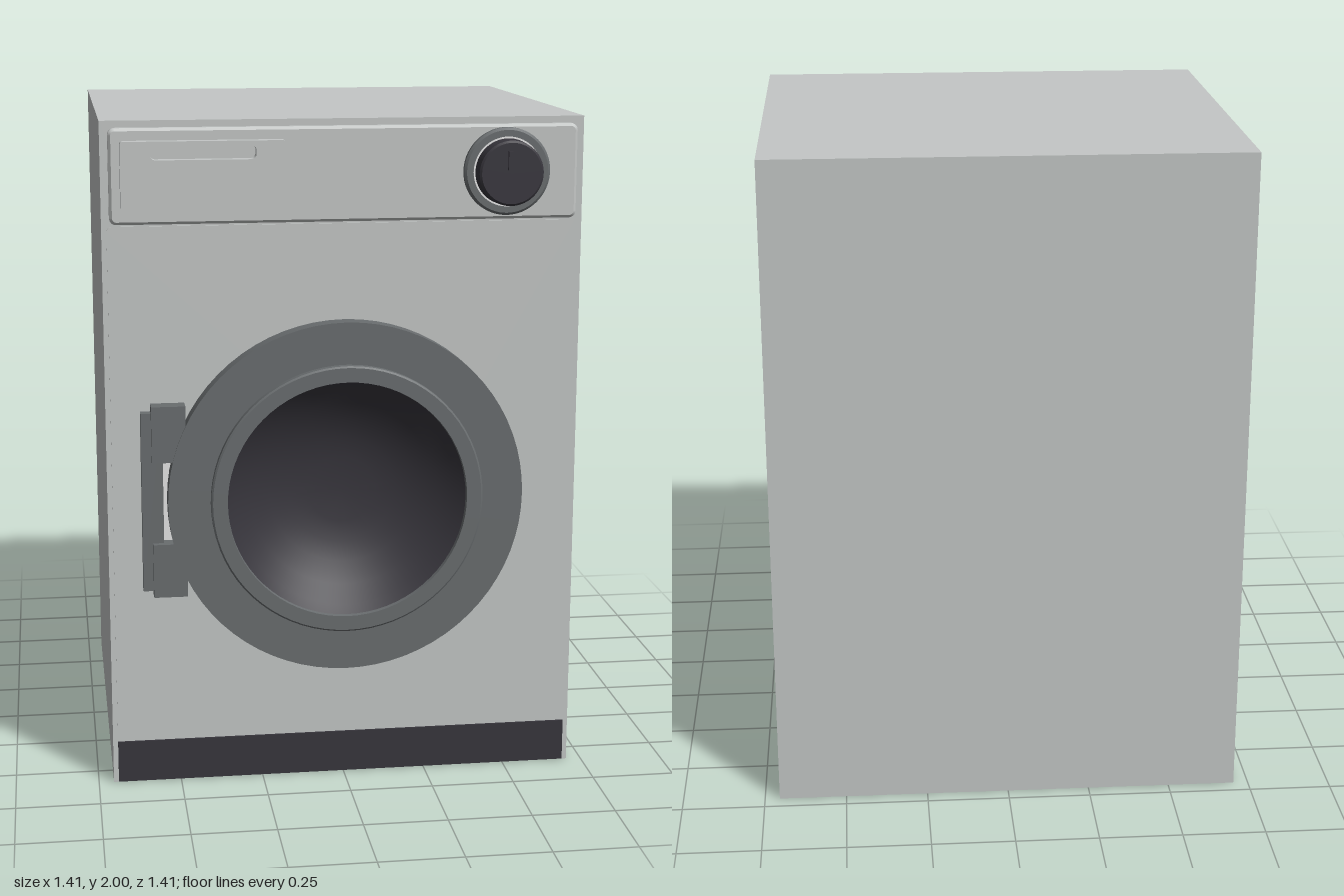
import * as THREE from 'three';
import { toCreasedNormals } from 'three/addons/utils/BufferGeometryUtils.js';

const mat = (name, color) => {
  const m = new THREE.MeshStandardMaterial({ color });
  m.name = name;
  return m;
};

// Rectangle outline with rounded corners
function roundRect(x0, y0, x1, y1, r, PathType = THREE.Shape) {
  const p = new PathType();
  p.moveTo(x0 + r, y0);
  p.lineTo(x1 - r, y0);
  p.absarc(x1 - r, y0 + r, r, -Math.PI / 2, 0);
  p.lineTo(x1, y1 - r);
  p.absarc(x1 - r, y1 - r, r, 0, Math.PI / 2);
  p.lineTo(x0 + r, y1);
  p.absarc(x0 + r, y1 - r, r, Math.PI / 2, Math.PI);
  p.lineTo(x0, y0 + r);
  p.absarc(x0 + r, y0 + r, r, Math.PI, Math.PI * 1.5);
  return p;
}

export function createModel() {
  const model = new THREE.Group();
  model.name = 'washingMachine';
  const casing = mat('casing grey', 0xc4c7c6);
  const trim = mat('trim grey', 0x696d6f);
  const dark = mat('dark charcoal', 0x38363d);
  const pale = mat('pale grey', 0xf0f0f0);

  const add = (name, geometry, material, parent = model) => {
    const mesh = new THREE.Mesh(geometry, material);
    mesh.name = name;
    parent.add(mesh);
    return mesh;
  };
  // Box given by its two opposite corners
  const box = (name, x0, y0, z0, x1, y1, z1, material, parent) =>
    add(name, new THREE.BoxGeometry(x1 - x0, y1 - y0, z1 - z0), material, parent)
      .position.set((x0 + x1) / 2, (y0 + y1) / 2, (z0 + z1) / 2);
  // Outline pushed from z0 to z1
  const slab = (name, shape, z0, z1, material, parent, bevel = 0) => {
    const g = new THREE.ExtrudeGeometry(shape, {
      depth: z1 - z0 - bevel, curveSegments: 24, bevelEnabled: bevel > 0,
      bevelSize: bevel, bevelThickness: bevel, bevelOffset: -bevel, bevelSegments: 1,
    });
    g.translate(0, 0, z0);
    return add(name, g, material, parent);
  };
  // Turned profile of [radius, z] points facing the front
  const turned = (name, points, x, y, material, parent, crease = 0.6) => {
    const g = new THREE.LatheGeometry(points.map(([r, z]) => new THREE.Vector2(r, z)), 72);
    g.rotateX(Math.PI / 2);
    const mesh = add(name, toCreasedNormals(g, crease), material, parent);
    mesh.position.set(x, y, 0);
    return mesh;
  };

  const doorY = 0.885;
  const withPort = (shape) => {
    const hole = new THREE.Path();
    hole.absarc(0, doorY, 0.4, 0, Math.PI * 2, true);
    shape.holes.push(hole);
    return shape;
  };

  // Cabinet, with an opening behind the door
  const cabinet = new THREE.Group();
  cabinet.name = 'cabinet';
  model.add(cabinet);
  box('cabinetRear', -0.705, 0, -0.705, 0.705, 2, 0.45, casing, cabinet);
  const front = new THREE.Shape([[-0.705, 0], [0.705, 0], [0.705, 2], [-0.705, 2]]
    .map(([x, y]) => new THREE.Vector2(x, y)));
  slab('cabinetFront', withPort(front), 0.45, 0.592, casing, cabinet);
  slab('frontPanel', withPort(roundRect(-0.69, 0.133, 0.69, 1.698, 0.015)), 0.592, 0.597, casing, cabinet);
  box('kickPlate', -0.69, 0.002, 0.592, 0.69, 0.13, 0.597, dark, cabinet);

  // Control panel and detergent drawer
  const controls = new THREE.Group();
  controls.name = 'controls';
  model.add(controls);
  slab('controlPanel', roundRect(-0.682, 1.705, 0.682, 1.98, 0.02), 0.592, 0.618, casing, controls, 0.008);
  const drawer = roundRect(-0.65, 1.745, -0.177, 1.945, 0.01);
  drawer.holes.push(roundRect(-0.565, 1.892, -0.262, 1.932, 0.016, THREE.Path));
  slab('detergentDrawer', drawer, 0.616, 0.652, casing, controls);

  // Programme dial
  const dialX = 0.47, dialY = 1.845;
  turned('dialRing', [[0.127, 0.61], [0.127, 0.632], [0.12, 0.638], [0, 0.638]], dialX, dialY, trim, controls);
  turned('dialGap', [[0.101, 0.638], [0.101, 0.64], [0, 0.64]], dialX, dialY, pale, controls);
  turned('dialKnob', [[0.096, 0.638], [0.094, 0.69], [0.088, 0.695], [0, 0.695]], dialX, dialY, dark, controls);
  box('dialPointer', dialX - 0.012, 1.855, 0.69, dialX + 0.012, 1.91, 0.705, dark, controls);

  // Door: stepped ring around a recessed glass bowl
  const door = new THREE.Group();
  door.name = 'door';
  model.add(door);
  turned('doorRing', [[0.53, 0.592], [0.53, 0.654], [0.405, 0.654], [0.405, 0.676], [0.4, 0.68],
    [0.357, 0.68], [0.355, 0.665]], 0, doorY, trim, door);
  turned('doorGlass', [[0.357, 0.668], [0.33, 0.642], [0.28, 0.604], [0.22, 0.57], [0.16, 0.548],
    [0.1, 0.537], [0, 0.535]], 0, doorY, dark, door, 1);

  // Hinge on the side of the door
  const hinge = new THREE.Group();
  hinge.name = 'hinge';
  model.add(hinge);
  box('hingeGap', -0.545, 0.75, 0.597, -0.515, 1.02, 0.6, pale, hinge);
  box('hingePlate', -0.605, 0.615, 0.592, -0.542, 1.155, 0.63, trim, hinge);
  for (const [y0, y1] of [[0.6, 0.762], [1.01, 1.178]]) {
    box('hingeLug', -0.575, y0, 0.592, -0.475, y1, 0.65, trim, hinge);
  }
  return model;
}
